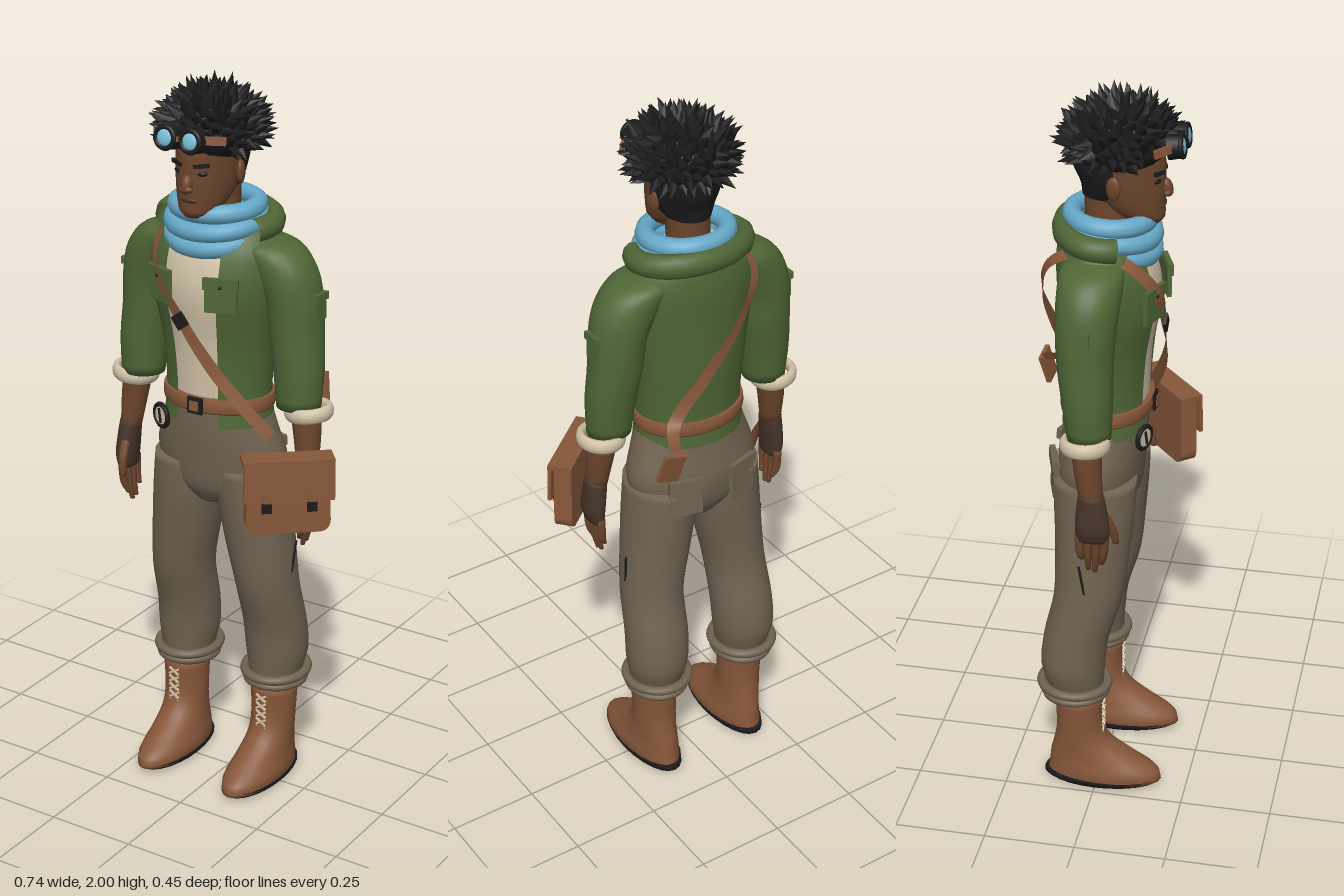
import * as THREE from 'three';
import { mergeGeometries } from 'three/addons/utils/BufferGeometryUtils.js';

const mat = (name, color, side = THREE.FrontSide) =>
  Object.assign(new THREE.MeshStandardMaterial({ color, side }), { name });
const V = (x, y, z) => new THREE.Vector3(x, y, z);

// Loft of ellipses [x, y, z, rx, rz] ordered upwards; angle 0 faces +z. A partial arc stays open.
function loft(sections, n = 24, a0 = 0, a1 = Math.PI * 2, steps = 4) {
  const s = [...sections].sort((a, b) => a[1] - b[1]);
  const centres = new THREE.CatmullRomCurve3(s.map(q => V(q[0], q[1], q[2])));
  const radii = new THREE.CatmullRomCurve3(s.map(q => V(q[3], q[1], q[4])));
  const closed = a1 - a0 > 6.28, rows = (s.length - 1) * steps, cols = closed ? n : n + 1;
  const pos = [], idx = [];
  for (let i = 0; i <= rows; i++) {
    const c = centres.getPoint(i / rows), r = radii.getPoint(i / rows);
    for (let j = 0; j < cols; j++) {
      const a = a0 + (a1 - a0) * j / n;
      pos.push(c.x + Math.sin(a) * r.x, c.y, c.z + Math.cos(a) * r.z);
    }
  }
  for (let i = 0; i < rows; i++) for (let j = 0; j < n; j++) {
    const k = (j + 1) % cols, p = i * cols, q = p + cols;
    idx.push(p + j, p + k, q + k, p + j, q + k, q + j);
  }
  if (closed) for (const i of [0, rows]) {
    const c = centres.getPoint(i / rows), m = pos.length / 3;
    pos.push(c.x, c.y, c.z);
    for (let j = 0; j < n; j++) {
      const p = i * cols + j, q = i * cols + (j + 1) % cols;
      idx.push(...(i ? [m, p, q] : [m, q, p]));
    }
  }
  const g = new THREE.BufferGeometry();
  g.setAttribute('position', new THREE.Float32BufferAttribute(pos, 3));
  g.setIndex(idx);
  g.computeVertexNormals();
  return g;
}

// Flat strap of a given width whose face points away from the body's vertical axis.
function ribbon(points, width, steps = 48) {
  const curve = new THREE.CatmullRomCurve3(points.map(p => V(...p)));
  const pos = [], idx = [];
  for (let i = 0; i <= steps; i++) {
    const p = curve.getPoint(i / steps), t = curve.getTangent(i / steps);
    const side = t.cross(V(p.x + 0.03, Math.max(0, p.y - 1.5) * 2, p.z)).setLength(width / 2);
    pos.push(p.x + side.x, p.y + side.y, p.z + side.z, p.x - side.x, p.y - side.y, p.z - side.z);
    if (i < steps) idx.push(2 * i, 2 * i + 1, 2 * i + 2, 2 * i + 1, 2 * i + 3, 2 * i + 2);
  }
  const g = new THREE.BufferGeometry();
  g.setAttribute('position', new THREE.Float32BufferAttribute(pos, 3));
  g.setIndex(idx);
  g.computeVertexNormals();
  return g;
}

export function createModel() {
  const root = new THREE.Group(), body = new THREE.Group();
  root.name = 'explorer';
  body.name = 'body';
  body.position.x = -0.03;
  root.add(body);

  const green = mat('jacket green', 0x4f6636, THREE.DoubleSide), cream = mat('cream cloth', 0xd2c3a8);
  const blue = mat('scarf blue', 0x66a9c9), taupe = mat('trouser taupe', 0x706350);
  const leather = mat('brown leather', 0x87573a, THREE.DoubleSide), skin = mat('skin', 0x6b452c);
  const black = mat('black', 0x1b1b1d, THREE.DoubleSide), glove = mat('glove brown', 0x46342a);
  const glass = mat('lens blue', 0x7cc3dc);

  const add = (name, geo, m, p = [0, 0, 0], r = [0, 0, 0], sc = [1, 1, 1], parent = body) => {
    const o = new THREE.Mesh(geo, m);
    o.name = name;
    o.position.set(...p);
    o.rotation.set(...r);
    o.scale.set(...sc);
    parent.add(o);
    return o;
  };
  const box = (x, y, z) => new THREE.BoxGeometry(x, y, z);
  const ball = new THREE.SphereGeometry(1, 16, 12);
  const ring = (R, t) => new THREE.TorusGeometry(R, t, 10, 32).rotateX(Math.PI / 2);

  // Torso: shirt inside an open jacket, then belt and trouser seat
  add('shirt', loft([[0, 1.12, 0, .138, .108], [0, 1.3, 0, .145, .117], [0, 1.45, .01, .168, .13],
    [0, 1.55, 0, .17, .12], [0, 1.63, -.01, .1, .08]]), cream);
  add('jacket', loft([[0, 1.08, 0, .157, .12], [0, 1.16, 0, .15, .115], [0, 1.3, 0, .16, .125],
    [0, 1.45, .01, .185, .138], [0, 1.55, 0, .19, .13], [0, 1.605, -.01, .165, .115],
    [0, 1.65, -.02, .11, .09]], 36, .43, Math.PI * 2 - .43), green);
  add('belt', loft([[0, 1.12, 0, .157, .122], [0, 1.14, 0, .16, .125], [0, 1.16, 0, .157, .122]], 32), leather);
  add('beltBuckle', box(.045, .045, .008), black, [.005, 1.14, .127]);
  add('beltBucklePlate', box(.026, .026, .008), leather, [.005, 1.14, .131]);
  add('compassRim', new THREE.TorusGeometry(.03, .007, 8, 24), black, [-.108, 1.085, .118], [0, -.4, 0]);
  add('compassFace', new THREE.CylinderGeometry(.029, .029, .008, 24).rotateX(Math.PI / 2), cream,
    [-.108, 1.085, .118], [0, -.4, 0]);
  add('compassNeedle', box(.006, .04, .004), black, [-.11, 1.085, .124], [0, -.4, .2]);
  add('trouserSeat', loft([[0, .84, -.015, .07, .08], [0, .89, -.015, .165, .107], [0, .97, -.015, .193, .116],
    [0, 1.05, -.006, .172, .113], [0, 1.13, 0, .145, .108]], 32), taupe);

  for (const s of [-1, 1]) {
    const side = s > 0 ? 'left' : 'right';
    // Jacket sleeve, pockets and rolled cuff
    add(side + 'Sleeve', loft([[s * .1, 1.605, -.01, .035, .04], [s * .145, 1.575, -.01, .088, .08],
      [s * .19, 1.52, -.01, .09, .083], [s * .222, 1.44, -.012, .077, .078], [s * .231, 1.35, -.012, .073, .073],
      [s * .243, 1.25, -.005, .068, .066], [s * .247, 1.15, 0, .06, .058]]), green);
    add(side + 'SleevePocket', box(.012, .065, .05), green, [s * .296, 1.425, -.015], [0, 0, s * .05]);
    add(side + 'SleeveFlap', box(.014, .02, .056), green, [s * .3, 1.455, -.015], [0, 0, s * .05]);
    add(side + 'ChestPocket', box(.085, .085, .012), green, [s * .093, 1.46, .137], [0, s * .36, 0]);
    add(side + 'ChestFlap', box(.094, .03, .014), green, [s * .094, 1.495, .14], [0, s * .36, 0]);
    add(side + 'ChestButton', ball, black, [s * .097, 1.488, .148], [0, 0, 0], [.005, .005, .004]);
    add(side + 'SleeveCuff', ring(.054, .012), cream, [s * .275, 1.14, -.005], [0, 0, s * .1], [1, 1.7, 1]);

    // Forearm and gloved hand with bare fingers
    add(side + 'Forearm', loft([[s * .255, 1.19, 0, .042, .042], [s * .272, 1.1, 0, .039, .039],
      [s * .283, .98, .012, .028, .031]], 16), skin);
    add(side + 'Glove', loft([[s * .283, 1.0, .012, .03, .033], [s * .288, .95, .015, .028, .042],
      [s * .292, .9, .017, .026, .046], [s * .289, .865, .017, .018, .042]], 16), glove);
    for (let i = 0; i < 4; i++) {
      const z = .05 - i * .023, low = [.79, .765, .77, .8][i];
      add(side + 'Finger', loft([[s * .277, low, z * .75, .006, .007], [s * .286, .82, z * .9, .011, .0105],
        [s * .289, .885, z, .012, .012]], 8), skin);
    }
    add(side + 'Thumb', loft([[s * .27, .855, .075, .008, .009], [s * .275, .9, .066, .012, .013],
      [s * .282, .95, .04, .014, .016]], 8), skin);

    // Trouser leg, rolled hem and back pocket
    add(side + 'TrouserLeg', loft([[s * .145, .31, -.06, .07, .075], [s * .146, .38, -.068, .086, .088],
      [s * .143, .47, -.06, .088, .09], [s * .137, .6, -.028, .086, .094], [s * .117, .75, -.018, .096, .102],
      [s * .103, .87, -.015, .1, .11], [s * .1, .95, -.015, .095, .112]]), taupe);
    add(side + 'UpperHem', ring(.086, .013), taupe, [s * .145, .322, -.065], [.03, 0, 0], [1, 1, 1.06]);
    add(side + 'LowerHem', ring(.078, .012), taupe, [s * .145, .296, -.062], [-.03, 0, 0], [1, 1, 1.06]);
    add(side + 'BackPocket', box(.09, .1, .014), taupe, [s * .09, .94, -.126], [.06, s * -.3, 0]);
    add(side + 'BackPocketFlap', box(.096, .03, .016), taupe, [s * .09, .985, -.13], [.06, s * -.3, 0]);
    add(side + 'LegSeam', box(.004, .14, .006), black, [s * .219, .67, -.025], [-.15, 0, s * -.06]);

    // Laced boot with a dark sole
    add(side + 'Boot', loft([[s * .142, .018, .018, .07, .162], [s * .142, .045, .016, .072, .155],
      [s * .143, .085, -.012, .064, .122], [s * .145, .13, -.04, .06, .083], [s * .146, .18, -.05, .061, .066],
      [s * .147, .29, -.052, .067, .067]]), leather);
    add(side + 'Sole', loft([[s * .142, 0, 0, .058, .14], [s * .142, .012, .008, .07, .162],
      [s * .142, .026, .014, .073, .164]], 24, 0, Math.PI * 2, 2), black);
    for (let i = 0; i < 5; i++) for (const d of [-1, 1])
      add(side + 'Lace', box(.036, .005, .005), cream, [s * .146, .155 + i * .025, .017], [0, 0, d * .55]);
  }

  // Collar and wound scarf
  add('collar', new THREE.TorusGeometry(.152, .03, 10, 32, Math.PI * 1.3).rotateZ(-Math.PI * .15)
    .rotateX(-Math.PI / 2), green, [0, 1.625, -.005], [.12, 0, 0], [1, 1.1, .75]);
  [[1.665, .108, .05, .008], [1.63, .117, .16, .012], [1.598, .115, .27, .016]].forEach(([y, R, tilt, z]) =>
    add('scarfWrap', ring(R, .026), blue, [0, y, z], [tilt, 0, 0], [1, 1, .93]));

  // Head and face
  add('neck', loft([[0, 1.56, -.01, .06, .06], [0, 1.66, 0, .056, .06], [0, 1.77, 0, .056, .062]], 20), skin);
  add('head', loft([[0, 1.655, .11, .028, .028], [0, 1.67, .092, .05, .056], [0, 1.7, .068, .066, .08],
    [0, 1.74, .05, .075, .1], [0, 1.785, .036, .08, .113], [0, 1.84, .026, .083, .12],
    [0, 1.9, .02, .075, .105], [0, 1.94, .02, .04, .06]]), skin);
  add('shavedSides', loft([[0, 1.72, .01, .06, .075], [0, 1.755, .036, .081, .106], [0, 1.8, .03, .086, .12],
    [0, 1.87, .022, .086, .122]], 24, Math.PI * .5, Math.PI * 1.5), black);
  add('nose', ball, skin, [0, 1.747, .15], [-.25, 0, 0], [.016, .026, .017]);
  add('noseTip', ball, skin, [0, 1.735, .155], [0, 0, 0], [.021, .011, .013]);
  add('lips', ball, glove, [0, 1.704, .143], [0, 0, 0], [.026, .008, .008]);
  for (const s of [-1, 1]) {
    add('ear', ball, skin, [s * .085, 1.765, .03], [0, s * .3, 0], [.011, .032, .02]);
    add('eye', ball, black, [s * .034, 1.775, .134], [0, s * .3, 0], [.016, .007, .007]);
    add('eyebrow', box(.042, .01, .008), black, [s * .036, 1.796, .138], [0, s * .38, s * .12]);
  }

  // Hair: lumpy cap covered in short tufts
  let seed = 7;
  const rnd = () => (seed = (seed * 16807) % 2147483647) / 2147483647;
  const hair = [], up = V(0, 1, 0), count = 190;
  for (let i = 0; i < count; i++) {
    const y = 1 - 1.5 * (i + .5) / count, r = Math.sqrt(1 - y * y), a = i * 2.39996;
    const d = V(Math.cos(a) * r, y, Math.sin(a) * r);
    if (d.z > .55 && y < .05) continue;
    const lean = d.clone().add(V(rnd() - .5, rnd() - .3, rnd() - .5).multiplyScalar(.8)).normalize();
    const h = .05 + rnd() * .03;
    const tuft = new THREE.ConeGeometry(.02 + rnd() * .008, h, 5).translate(0, h * .2, 0);
    tuft.applyQuaternion(new THREE.Quaternion().setFromUnitVectors(up, lean));
    hair.push(tuft.translate(d.x * .116, d.y * .085, d.z * .126));
  }
  hair.push(new THREE.SphereGeometry(1, 24, 16).scale(.119, .088, .129));
  add('hair', mergeGeometries(hair), black, [0, 1.872, .03]);

  // Goggles resting on the hair
  const goggles = new THREE.Group();
  goggles.name = 'goggles';
  goggles.position.set(.003, 1.872, .183);
  goggles.rotation.x = -.12;
  body.add(goggles);
  for (const s of [-1, 1]) {
    const x = s * .038;
    add('goggleCup', new THREE.CylinderGeometry(.031, .034, .034, 20).rotateX(Math.PI / 2), black, [x, 0, -.006],
      [0, 0, 0], [1, 1, 1], goggles);
    add('goggleRim', new THREE.TorusGeometry(.027, .007, 8, 24), black, [x, 0, .012], [0, 0, 0], [1, 1, 1], goggles);
    add('goggleLens', new THREE.SphereGeometry(.023, 20, 8), glass, [x, 0, .012], [0, 0, 0], [1, 1, .35], goggles);
    add('goggleStrap', box(.055, .022, .008), leather, [s * .086, .004, -.028], [0, s * .7, 0], [1, 1, 1], goggles);
  }
  add('goggleBridge', box(.02, .012, .012), leather, [0, 0, .006], [0, 0, 0], [1, 1, 1], goggles);

  // Shoulder strap running across chest and back, with a loose end behind the hip
  const flat = [[0, 0, 0], [0, 0, 0], [1, 1, 1], root];
  add('chestStrap', ribbon([[-.165, 1.625, -.02], [-.165, 1.585, .075], [-.13, 1.5, .145], [-.05, 1.38, .152],
    [.04, 1.26, .143], [.12, 1.16, .115], [.18, 1.08, .08]], .034), leather, ...flat);
  add('strapBuckle', box(.036, .04, .008), black, [-.05, 1.38, .157], [0, 0, .65], [1, 1, 1], root);
  add('backStrap', ribbon([[-.165, 1.625, -.02], [-.15, 1.57, -.125], [-.08, 1.46, -.163], [.02, 1.32, -.155],
    [.1, 1.2, -.135], [.125, 1.17, -.17], [.135, 1.155, -.21]], .034), leather, ...flat);
  add('strapEnd', box(.06, .085, .012), leather, [.158, 1.122, -.206], [-.2, -.15, .2], [1, 1, 1], root);

  // Satchel turned outwards on the left hip
  const bag = new THREE.Group();
  bag.name = 'satchel';
  bag.position.set(.256, .95, .117);
  bag.rotation.y = .7;
  root.add(bag);
  const shape = new THREE.Shape();
  shape.moveTo(-.105, .1).lineTo(.105, .1).lineTo(.112, -.07).quadraticCurveTo(.11, -.103, .08, -.103);
  shape.lineTo(-.08, -.103).quadraticCurveTo(-.11, -.103, -.112, -.07);
  add('satchelBody', new THREE.ExtrudeGeometry(shape, { depth: .05, bevelEnabled: false }).translate(0, 0, -.028),
    leather, [0, 0, 0], [0, 0, 0], [1, 1, 1], bag);
  add('satchelLid', box(.24, .014, .066), leather, [0, .098, 0], [0, 0, 0], [1, 1, 1], bag);
  add('satchelFlap', box(.24, .11, .01), leather, [0, .047, .03], [-.03, 0, 0], [1, 1, 1], bag);
  for (const s of [-1, 1]) {
    add('satchelStrap', box(.02, .06, .008), leather, [s * .06, -.015, .036], [0, 0, 0], [1, 1, 1], bag);
    add('satchelBuckle', box(.026, .026, .009), black, [s * .06, -.022, .039], [0, 0, 0], [1, 1, 1], bag);
  }
  return root;
}
